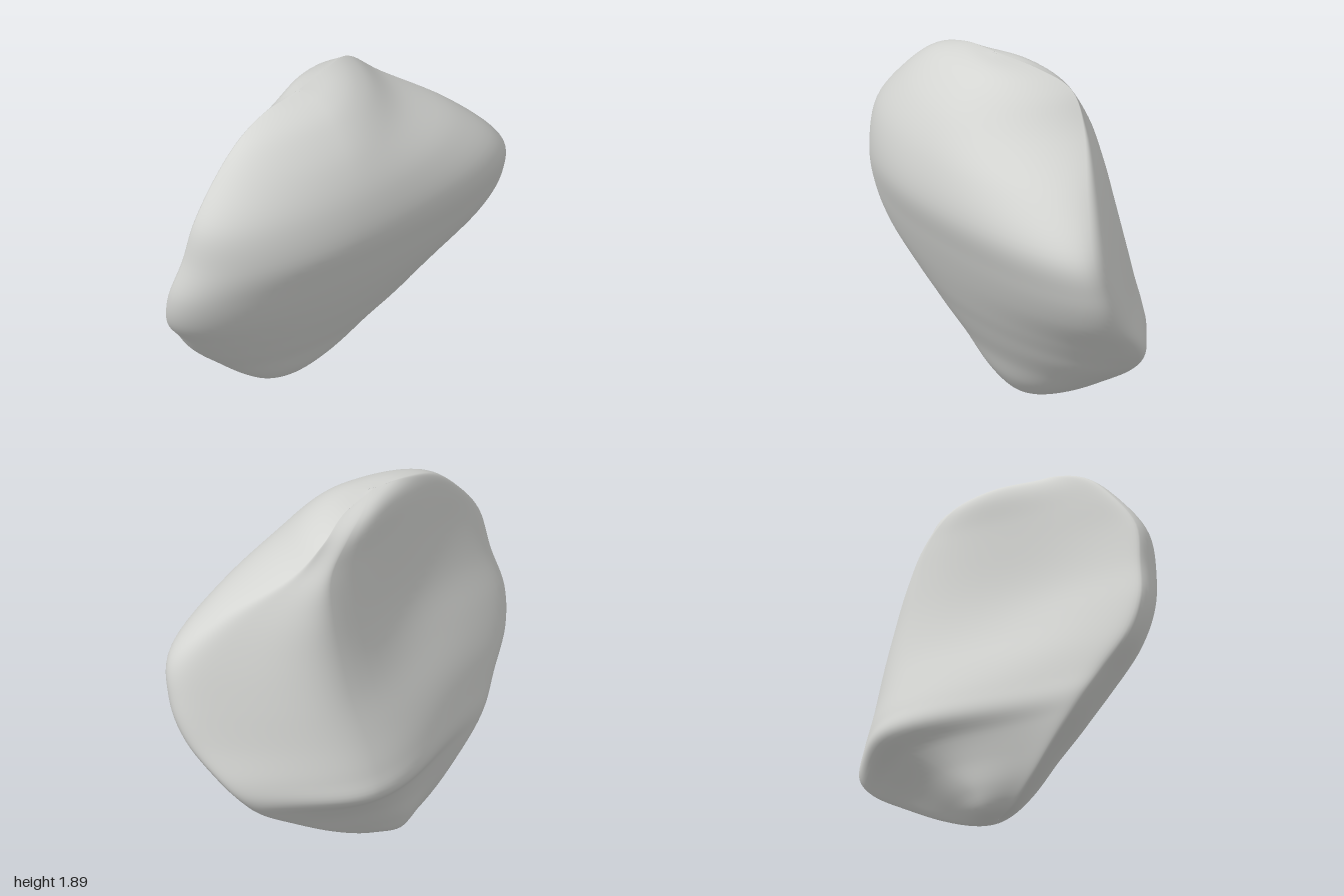
import * as THREE from 'three';

// One row per height: y, left-hand rim (x, z), right-hand rim (x, z), front crest z, back crest (x, z)
const levels = [
  [1.89, -0.15, 0.03, -0.15, 0.03, 0.03, -0.15, 0.03],
  [1.87, 0.10, -0.06, -0.37, 0.06, 0.16, -0.02, -0.10],
  [1.80, 0.28, -0.14, -0.57, 0.10, 0.28, 0.14, -0.19],
  [1.65, 0.45, -0.10, -0.74, 0.13, 0.41, 0.28, -0.245],
  [1.45, 0.74, 0.07, -0.89, 0.16, 0.50, 0.30, -0.30],
  [1.22, 0.955, 0.18, -0.945, 0.14, 0.525, 0.28, -0.36],
  [1.00, 1.00, 0.14, -1.00, 0.10, 0.455, 0.26, -0.42],
  [0.80, 0.975, 0.04, -0.97, 0.05, 0.375, 0.22, -0.48],
  [0.62, 0.89, -0.12, -0.85, -0.02, 0.29, 0.20, -0.53],
  [0.50, 0.80, -0.19, -0.77, -0.07, 0.225, 0.20, -0.545],
  [0.40, 0.69, -0.20, -0.69, -0.10, 0.17, 0.14, -0.44],
  [0.28, 0.50, -0.19, -0.57, -0.12, 0.10, 0.02, -0.35],
  [0.14, 0.26, -0.17, -0.42, -0.13, 0.03, -0.10, -0.28],
  [0.04, 0.04, -0.15, -0.28, -0.13, -0.05, -0.13, -0.22],
  [0.00, -0.14, -0.13, -0.14, -0.13, -0.13, -0.14, -0.13],
];

// Smooth guide line running from the top pole to the bottom pole
function guide(pick) {
  const points = levels.map((r) => {
    const [x, z] = pick(r);
    return new THREE.Vector3(x, r[0], z);
  });
  return new THREE.CatmullRomCurve3(points, false, 'catmullrom', 0.5);
}

// Shallow bowl worn into the back face
function hollow(x, y) {
  return 0.15 * Math.exp(-((x + 0.25) ** 2 + (y - 1.15) ** 2) / 0.3);
}

function boulderGeometry(rows = 84, around = 88) {
  const plus = guide((r) => [r[1], r[2]]);
  const minus = guide((r) => [r[3], r[4]]);
  const front = guide((r) => [r[0] > 1.88 ? -0.15 : -0.12, r[5]]);
  const back = guide((r) => [r[6], r[7]]);
  const positions = [];
  const indices = [];

  for (let i = 0; i <= rows; i++) {
    const t = i / rows;
    const [p, m, f, b] = [plus, minus, front, back].map((c) => c.getPoint(t));
    const y = Math.max(0, p.y);
    for (let j = 0; j < around; j++) {
      // Rounded front quadrants, bell-shaped back quadrants
      const a = (j / around) * Math.PI * 2;
      const u = Math.abs(Math.cos(a));
      const s = Math.abs(Math.sin(a));
      const side = Math.cos(a) >= 0 ? p : m;
      const isBack = Math.sin(a) < 0;
      const crest = isBack ? b : f;
      const round = !isBack ? 1 : side === p ? 0.5 : 0.35;
      const depth = round * s + (1 - round) * (1 + Math.cos(Math.PI * u)) / 2;
      const x = crest.x + (side.x - crest.x) * u;
      let z = side.z + (crest.z - side.z) * depth;
      if (isBack) z += s * hollow(x, y);
      positions.push(x, y, z);
      if (i < rows) {
        const k = i * around + j;
        const n = i * around + ((j + 1) % around);
        indices.push(k, n, k + around, n, n + around, k + around);
      }
    }
  }
  const geometry = new THREE.BufferGeometry();
  geometry.setAttribute('position', new THREE.Float32BufferAttribute(positions, 3));
  geometry.setIndex(indices);
  geometry.computeVertexNormals();
  return geometry;
}

export function createModel() {
  const stone = new THREE.MeshStandardMaterial({ color: 0xd4d5d2 });
  stone.name = 'grey stone';
  const boulder = new THREE.Mesh(boulderGeometry(), stone);
  boulder.name = 'boulder';
  const group = new THREE.Group();
  group.name = 'rock';
  group.add(boulder);
  return group;
}
